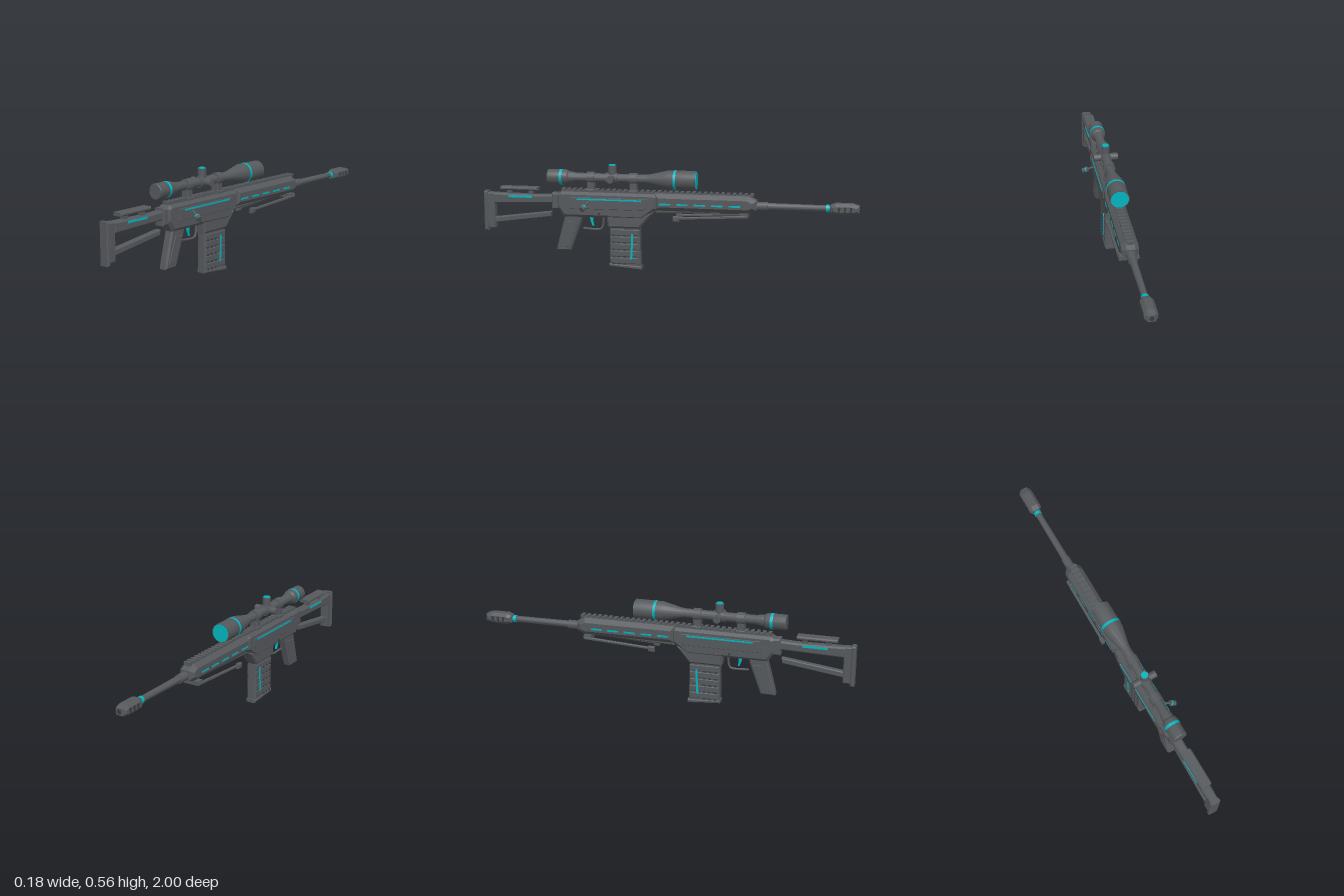
import * as THREE from 'three';
import { toCreasedNormals } from 'three/addons/utils/BufferGeometryUtils.js';

export function createModel() {
  const root = new THREE.Group();
  root.name = 'rifle';
  const body = new THREE.Group();
  body.name = 'rifleParts';
  body.position.x = -0.023; // bolt handle sticks out to +x, so the body sits off centre
  root.add(body);

  const mat = (name, color) => {
    const m = new THREE.MeshStandardMaterial({ color });
    m.name = name;
    return m;
  };
  const metal = mat('gunmetal', 0x56595c);
  const dark = mat('darkRecess', 0x393b3e);
  const cyan = mat('cyanAccent', 0x00b4be);

  const add = (name, geo, material = metal, parent = body) => {
    const m = new THREE.Mesh(geo, material);
    m.name = name;
    parent.add(m);
    return m;
  };
  // Side profile of [z, y] points, extruded across x with chamfered edges
  const slab = (name, pts, width, bevel = 0.005, material = metal, x = 0) => {
    const shape = new THREE.Shape(pts.map(([z, y]) => new THREE.Vector2(z, y)));
    const geo = new THREE.ExtrudeGeometry(shape, {
      depth: width - 2 * bevel, bevelEnabled: bevel > 0, bevelSegments: 1,
      bevelSize: bevel, bevelThickness: bevel, bevelOffset: -bevel,
    });
    geo.translate(0, 0, -(width / 2 - bevel));
    geo.rotateY(-Math.PI / 2);
    geo.translate(x, 0, 0);
    return add(name, geo, material);
  };
  const rect = (z0, z1, y0, y1) => [[z0, y0], [z1, y0], [z1, y1], [z0, y1]];
  const box = (name, w, h, d, x, y, z, material = metal) => {
    const m = add(name, new THREE.BoxGeometry(w, h, d), material);
    m.position.set(x, y, z);
    return m;
  };
  // Turned part along z: [z, radius] points with z increasing
  const turned = (name, pts, y, material = metal, segments = 32) => {
    const geo = new THREE.LatheGeometry(pts.map(([z, r]) => new THREE.Vector2(r, z)), segments);
    geo.rotateX(Math.PI / 2);
    geo.translate(0, y, 0);
    return add(name, toCreasedNormals(geo, 0.5), material);
  };
  const ring = (name, z0, z1, r, y, material = cyan) =>
    turned(name, [[z0, 0.005], [z0, r], [z1, r], [z1, 0.005]], y, material);
  const sides = (fn) => [-1, 1].forEach(fn);

  // Stock
  slab('buttPlate', [[0.978, 0.187], [1, 0.187], [1, 0.4], [0.978, 0.4]], 0.055, 0.006);
  slab('buttFrame', rect(0.94, 0.982, 0.2, 0.393), 0.045, 0.005);
  slab('stockBeam', [[0.95, 0.335], [0.6, 0.345], [0.6, 0.392], [0.7, 0.388], [0.95, 0.392]], 0.05, 0.008);
  slab('stockStrut', [[0.95, 0.228], [0.63, 0.272], [0.625, 0.3], [0.95, 0.258]], 0.036, 0.004);
  slab('stockCollar', rect(0.575, 0.62, 0.315, 0.403), 0.062, 0.008);
  slab('cheekRest', rect(0.7, 0.907, 0.41, 0.428), 0.06, 0.006);
  [0.74, 0.86].forEach((z) => box('cheekPost', 0.025, 0.035, 0.025, 0, 0.397, z));
  sides((s) => box('stockStripe', 0.006, 0.011, 0.13, s * 0.024, 0.377, 0.795, cyan));

  // Receiver with magazine well
  slab('receiver', [
    [0.592, 0.33], [0.555, 0.278], [0.315, 0.278], [0.3, 0.275], [0.13, 0.275], [0.07, 0.32],
    [0.05, 0.33], [0.05, 0.4], [0.065, 0.412], [0.57, 0.412], [0.592, 0.398],
  ], 0.08, 0.014);
  slab('magazineWell', [[0.325, 0.3], [0.315, 0.225], [0.145, 0.225], [0.075, 0.31]], 0.07, 0.01);
  sides((s) => {
    slab('receiverPanel', [[0.52, 0.325], [0.12, 0.325], [0.1, 0.345], [0.1, 0.386], [0.52, 0.386]],
      0.008, 0.002, metal, s * 0.041);
    box('receiverStripe', 0.004, 0.008, 0.35, s * 0.0455, 0.377, 0.305, cyan);
    box('selector', 0.008, 0.022, 0.025, s * 0.042, 0.345, 0.54);
    box('takedownPin', 0.004, 0.012, 0.012, s * 0.04, 0.3, 0.36, dark);
  });

  // Handguard
  slab('handguard', [
    [0.065, 0.325], [-0.43, 0.325], [-0.473, 0.342], [-0.473, 0.392], [-0.43, 0.416], [0.065, 0.416],
  ], 0.088, 0.022);
  slab('handguardKeel', [[0.06, 0.31], [-0.38, 0.322], [-0.4, 0.34], [0.06, 0.34]], 0.045, 0.006);
  for (let i = 0; i < 5; i++) {
    sides((s) => {
      box('handguardDash', 0.004, 0.009, 0.06, s * 0.0435, 0.363, 0.005 - i * 0.091, cyan);
    });
  }

  // Top rail
  box('railBase', 0.036, 0.012, 1.02, 0, 0.412, 0.06);
  for (let i = 0; i < 34; i++) box('railTooth', 0.042, 0.011, 0.017, 0, 0.422, 0.56 - i * 0.0305);

  // Barrel and muzzle brake
  turned('barrel', [
    [-0.88, 0], [-0.88, 0.016], [-0.53, 0.0185], [-0.53, 0.023], [-0.46, 0.023], [-0.46, 0],
  ], 0.363);
  ring('barrelRing', -0.845, -0.828, 0.0195, 0.363);
  slab('muzzleBrake', [
    [-0.85, 0.344], [-0.875, 0.334], [-0.965, 0.334], [-0.998, 0.345],
    [-0.998, 0.381], [-0.965, 0.392], [-0.875, 0.392], [-0.85, 0.382],
  ], 0.066, 0.015);
  turned('muzzleBore', [[-0.9995, 0], [-0.9995, 0.012], [-0.99, 0.012]], 0.363, dark, 20);
  [-0.955, -0.925, -0.895].forEach((z) => sides((s) =>
    box('brakePort', 0.003, 0.026, 0.012, s * 0.0325, 0.363, z, dark)));

  // Grip
  slab('grip', [[0.55, 0.285], [0.455, 0.285], [0.462, 0.255], [0.522, 0.092], [0.6, 0.092], [0.592, 0.13]], 0.05, 0.008);
  sides((s) => slab('gripPanel', [[0.53, 0.25], [0.478, 0.25], [0.528, 0.115], [0.58, 0.115]],
    0.005, 0.0015, metal, s * 0.0255));

  // Trigger and guard
  const guard = new THREE.CatmullRomCurve3(
    [[0.455, 0.212], [0.36, 0.212], [0.35, 0.225], [0.343, 0.28]].map(([z, y]) => new THREE.Vector3(0, y, z)), false, 'centripetal');
  add('triggerGuard', new THREE.TubeGeometry(guard, 20, 0.006, 8));
  slab('trigger', [[0.42, 0.28], [0.4, 0.28], [0.401, 0.25], [0.396, 0.228], [0.404, 0.226], [0.414, 0.25]], 0.012, 0.002, cyan);

  // Magazine
  slab('magazine', [[0.306, 0.24], [0.146, 0.24], [0.14, 0.015], [0.306, 0.025]], 0.05, 0.006);
  for (let i = 0; i < 5; i++) {
    const y = 0.032 + i * 0.038;
    slab('magazineBand', rect(0.145, 0.303, y, y + 0.034), 0.056, 0.004);
  }
  slab('magazineBase', [[0.31, 0.016], [0.135, 0.002], [0.135, 0.022], [0.31, 0.032]], 0.058, 0.005);
  sides((s) => {
    slab('magazineStripe', [[0.196, 0.055], [0.184, 0.06], [0.18, 0.13], [0.178, 0.19], [0.188, 0.2], [0.19, 0.14]],
      0.003, 0, cyan, s * 0.029);
    for (let i = 0; i < 5; i++) {
      [0.225, 0.255, 0.285].forEach((z) =>
        box('magazineStud', 0.003, 0.009, 0.011, s * 0.0285, 0.033 + i * 0.038, z, dark));
    }
  });

  // Folded bipod
  box('bipodMount', 0.1, 0.022, 0.04, 0, 0.315, -0.41);
  sides((s) => {
    slab('bipodLeg', [[-0.05, 0.284], [-0.43, 0.304], [-0.43, 0.319], [-0.05, 0.297]], 0.014, 0.003, metal, s * 0.046);
    slab('bipodFoot', rect(-0.072, -0.038, 0.275, 0.303), 0.022, 0.004, metal, s * 0.047);
  });

  // Bolt handle: built along +y, then tilted outwards and down
  const bolt = new THREE.Group();
  bolt.name = 'boltHandle';
  bolt.position.set(0.035, 0.366, 0.415);
  bolt.quaternion.setFromUnitVectors(new THREE.Vector3(0, 1, 0), new THREE.Vector3(0.86, -0.45, 0.3).normalize());
  body.add(bolt);
  const rod = (name, r, y0, y1, material) => {
    const m = add(name, new THREE.CylinderGeometry(r, r, y1 - y0, 16), material, bolt);
    m.position.y = (y0 + y1) / 2;
  };
  rod('boltStem', 0.006, -0.01, 0.06, metal);
  rod('boltKnob', 0.014, 0.048, 0.08, metal);
  rod('boltRing', 0.0148, 0.054, 0.061, cyan);

  // Scope
  const sy = 0.487;
  turned('scope', [
    [-0.153, 0], [-0.153, 0.05], [-0.01, 0.05], [0.01, 0.046], [0.09, 0.027], [0.12, 0.024],
    [0.49, 0.024], [0.515, 0.03], [0.53, 0.03], [0.538, 0.037], [0.55, 0.04], [0.64, 0.04], [0.645, 0.037], [0.645, 0],
  ], sy);
  turned('frontLens', [[-0.1555, 0], [-0.1555, 0.046], [-0.15, 0.046]], sy, cyan);
  ring('objectiveRing', -0.05, -0.036, 0.0512, sy);
  ring('eyepieceRing', 0.563, 0.578, 0.0412, sy);
  ring('turretHousing', 0.265, 0.328, 0.029, sy, metal);
  [0.18, 0.41].forEach((z) => {
    ring('scopeClamp', z - 0.021, z + 0.021, 0.031, sy, metal);
    slab('scopeMount', rect(z - 0.02, z + 0.02, 0.425, 0.475), 0.044, 0.004);
    slab('mountFoot', rect(z - 0.024, z + 0.024, 0.408, 0.428), 0.052, 0.004);
  });
  const cyl = (name, r, h, x, y, z, material, sideways) => {
    const m = add(name, new THREE.CylinderGeometry(r, r, h, 24), material);
    m.position.set(x, y, z);
    if (sideways) m.rotation.z = Math.PI / 2;
  };
  cyl('topTurret', 0.022, 0.07, 0, 0.52, 0.295, metal);
  cyl('topTurretCap', 0.018, 0.005, 0, 0.5575, 0.295, cyan);
  sides((s) => cyl('sideTurret', 0.019, 0.042, s * 0.044, sy, 0.295, metal, true));

  return root;
}
